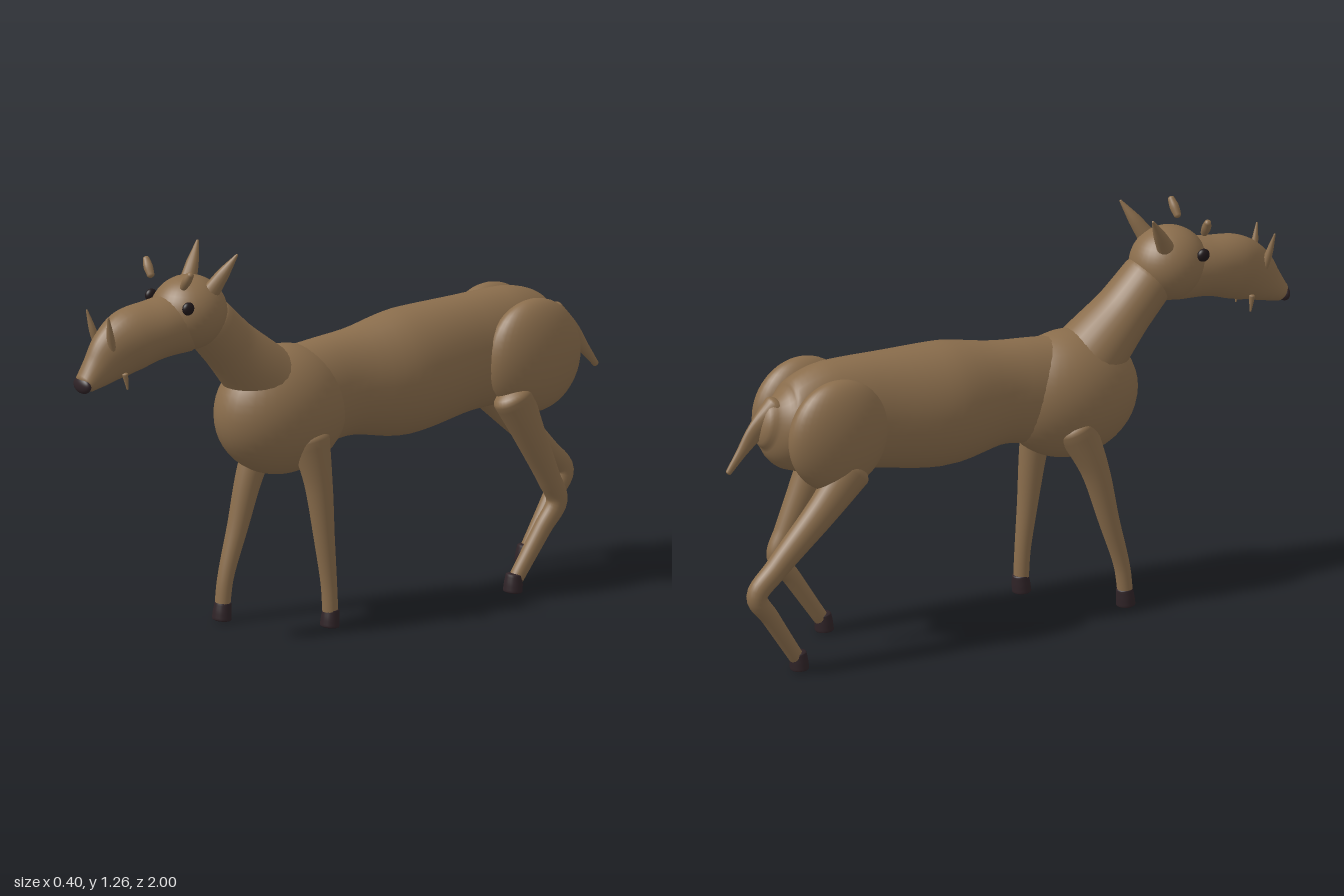
import * as THREE from 'three';

const hide = new THREE.MeshStandardMaterial({ color: 0x8a6d4c });
hide.name = 'brown hide';
const horn = new THREE.MeshStandardMaterial({ color: 0x2f2327 });
horn.name = 'dark hoof';
const black = new THREE.MeshStandardMaterial({ color: 0x1f1719 });
black.name = 'eye black';

// Round-ended skin around a smooth path; each point is [x, y, z, sideRadius, otherRadius]
function sweep(points, cap = 0.6, steps = 6, sides = 28) {
  const centres = new THREE.CatmullRomCurve3(points.map(p => new THREE.Vector3(p[0], p[1], p[2])));
  const radii = new THREE.CatmullRomCurve3(points.map(p => new THREE.Vector3(p[3], p[4] ?? p[3], 0)));
  const n = (points.length - 1) * steps;
  const rings = [];
  const addRing = (u, shift, scale) => {
    const t = centres.getTangent(u);
    const r = radii.getPoint(u);
    const c = centres.getPoint(u).addScaledVector(t, shift * Math.min(r.x, r.y) * cap);
    const a = new THREE.Vector3(1, 0, 0).addScaledVector(t, -t.x).normalize();
    const b = new THREE.Vector3().crossVectors(t, a);
    rings.push({ c, a, b, rx: r.x * scale, ry: r.y * scale });
  };
  const K = 5;
  for (let k = 0; k < K; k++) {
    const f = (1 - k / K) * Math.PI / 2;
    addRing(0, -Math.sin(f), Math.cos(f) + 1e-4);
  }
  for (let i = 0; i <= n; i++) addRing(i / n, 0, 1);
  for (let k = 1; k <= K; k++) {
    const f = (k / K) * Math.PI / 2;
    addRing(1, Math.sin(f), Math.cos(f) + 1e-4);
  }
  const pos = [], idx = [];
  rings.forEach((g, i) => {
    for (let j = 0; j < sides; j++) {
      const q = (j / sides) * Math.PI * 2;
      const p = g.c.clone().addScaledVector(g.a, g.rx * Math.cos(q)).addScaledVector(g.b, g.ry * Math.sin(q));
      pos.push(p.x, p.y, p.z);
      if (i === rings.length - 1) continue;
      const k = (j + 1) % sides, A = i * sides, B = A + sides;
      idx.push(A + j, A + k, B + j, A + k, B + k, B + j);
    }
  });
  const geo = new THREE.BufferGeometry();
  geo.setAttribute('position', new THREE.Float32BufferAttribute(pos, 3));
  geo.setIndex(idx);
  geo.computeVertexNormals();
  return geo;
}

export function createModel() {
  const model = new THREE.Group();
  const add = (name, geo, mat = hide, parent = model) => {
    const mesh = new THREE.Mesh(geo, mat);
    mesh.name = name;
    parent.add(mesh);
    return mesh;
  };
  const ball = (name, [x, y, z], [rx, ry, rz], mat = hide) =>
    add(name, new THREE.SphereGeometry(1, 36, 24).scale(rx, ry, rz).translate(x, y, z), mat);

  // Trunk
  ball('chest', [0, 0.7, 0.22], [0.163, 0.207, 0.232]);
  add('barrel', sweep([
    [0, 0.72, 0.17, 0.12, 0.175],
    [0, 0.743, 0, 0.118, 0.168],
    [0, 0.748, -0.24, 0.156, 0.203],
    [0, 0.77, -0.48, 0.132, 0.188],
    [0, 0.775, -0.65, 0.125, 0.185],
    [0, 0.775, -0.79, 0.105, 0.14],
    [0, 0.79, -0.85, 0.06, 0.08]
  ]));
  add('tail', sweep([
    [0, 0.84, -0.82, 0.04, 0.045],
    [0, 0.77, -0.895, 0.018, 0.032],
    [0, 0.71, -0.945, 0.013, 0.018],
    [0, 0.652, -0.99, 0.008, 0.01]
  ]));

  // Neck and head
  add('neck', sweep([
    [0, 0.76, 0.24, 0.13, 0.125],
    [0, 0.85, 0.33, 0.115, 0.107],
    [0, 0.94, 0.42, 0.097, 0.09],
    [0, 1.03, 0.505, 0.09, 0.085]
  ]));
  ball('cranium', [0, 1.07, 0.575], [0.117, 0.119, 0.125]);
  add('muzzle', sweep([
    [0, 1.045, 0.6, 0.095, 0.1],
    [0, 1.035, 0.7, 0.095, 0.096],
    [0, 1.015, 0.8, 0.084, 0.103],
    [0, 0.977, 0.87, 0.062, 0.09],
    [0, 0.935, 0.925, 0.048, 0.06],
    [0, 0.902, 0.97, 0.04, 0.034]
  ], 0.5));
  ball('nose', [0, 0.897, 0.982], [0.041, 0.027, 0.018], horn);

  // Paired details on the head and the haunches
  for (const s of [1, -1]) {
    const side = s > 0 ? 'left' : 'right';
    ball(side + 'Eye', [s * 0.1, 1.113, 0.647], [0.014, 0.021, 0.021], black);
    add(side + 'Ear', sweep([
      [s * 0.062, 1.14, 0.535, 0.026, 0.03],
      [s * 0.083, 1.2, 0.5, 0.02, 0.02],
      [s * 0.106, 1.26, 0.464, 0.004, 0.004]
    ], 0.6, 5, 14));
    add(side + 'Stub', sweep([
      [s * 0.088, 1.183, 0.657, 0.012],
      [s * 0.104, 1.205, 0.655, 0.015],
      [s * 0.119, 1.227, 0.652, 0.011]
    ], 0.8, 4, 12));
    add(side + 'SnoutSpike', sweep([
      [s * 0.04, 0.99, 0.89, 0.013],
      [s * 0.047, 1.05, 0.908, 0.012],
      [s * 0.058, 1.118, 0.924, 0.003]
    ], 0.6, 4, 12));
    add(side + 'Tusk', sweep([
      [s * 0.045, 0.92, 0.85, 0.01],
      [s * 0.048, 0.872, 0.843, 0.003]
    ], 0.6, 4, 10));
    ball(side + 'Haunch', [s * 0.12, 0.758, -0.665], [0.08, 0.183, 0.172]);
  }

  // Legs end in a dark hoof; z values give the stride of each leg
  const leg = (name, x, points, hoofZ) => {
    const group = new THREE.Group();
    group.name = name;
    model.add(group);
    add(name + 'Limb', sweep(points), hide, group);
    add(name + 'Hoof', sweep([
      [x, 0.062, hoofZ - 0.003, 0.027, 0.026],
      [x, 0.035, hoofZ, 0.031, 0.029],
      [x, 0.011, hoofZ + 0.002, 0.033, 0.03]
    ], 0.25, 4, 20), horn, group);
  };
  const foreleg = (name, s, top, knee, hoof) => leg(name, s * 0.13, [
    [s * 0.11, 0.62, top, 0.052, 0.065],
    [s * 0.122, 0.48, top * 0.62 + knee * 0.38, 0.043, 0.046],
    [s * 0.128, 0.3, top * 0.3 + knee * 0.7, 0.034, 0.033],
    [s * 0.13, 0.14, knee, 0.027, 0.025],
    [s * 0.13, 0.05, hoof, 0.026, 0.024]
  ], hoof);
  foreleg('leftForeleg', 1, 0.185, 0.128, 0.123);
  foreleg('rightForeleg', -1, 0.19, 0.34, 0.352);

  const hindleg = (name, s, top, hock, hoof) => leg(name, s * 0.13, [
    [s * 0.138, 0.64, top, 0.055, 0.07],
    [s * 0.143, 0.53, top * 0.7 + hock * 0.3, 0.046, 0.054],
    [s * 0.142, 0.36, top * 0.2 + hock * 0.8, 0.036, 0.038],
    [s * 0.14, 0.28, hock, 0.032, 0.034],
    [s * 0.136, 0.2, hock * 0.68 + hoof * 0.32, 0.029, 0.029],
    [s * 0.13, 0.05, hoof - 0.01, 0.025, 0.024]
  ], hoof);
  hindleg('leftHindleg', 1, -0.575, -0.74, -0.58);
  hindleg('rightHindleg', -1, -0.63, -0.965, -0.81);

  return model;
}
